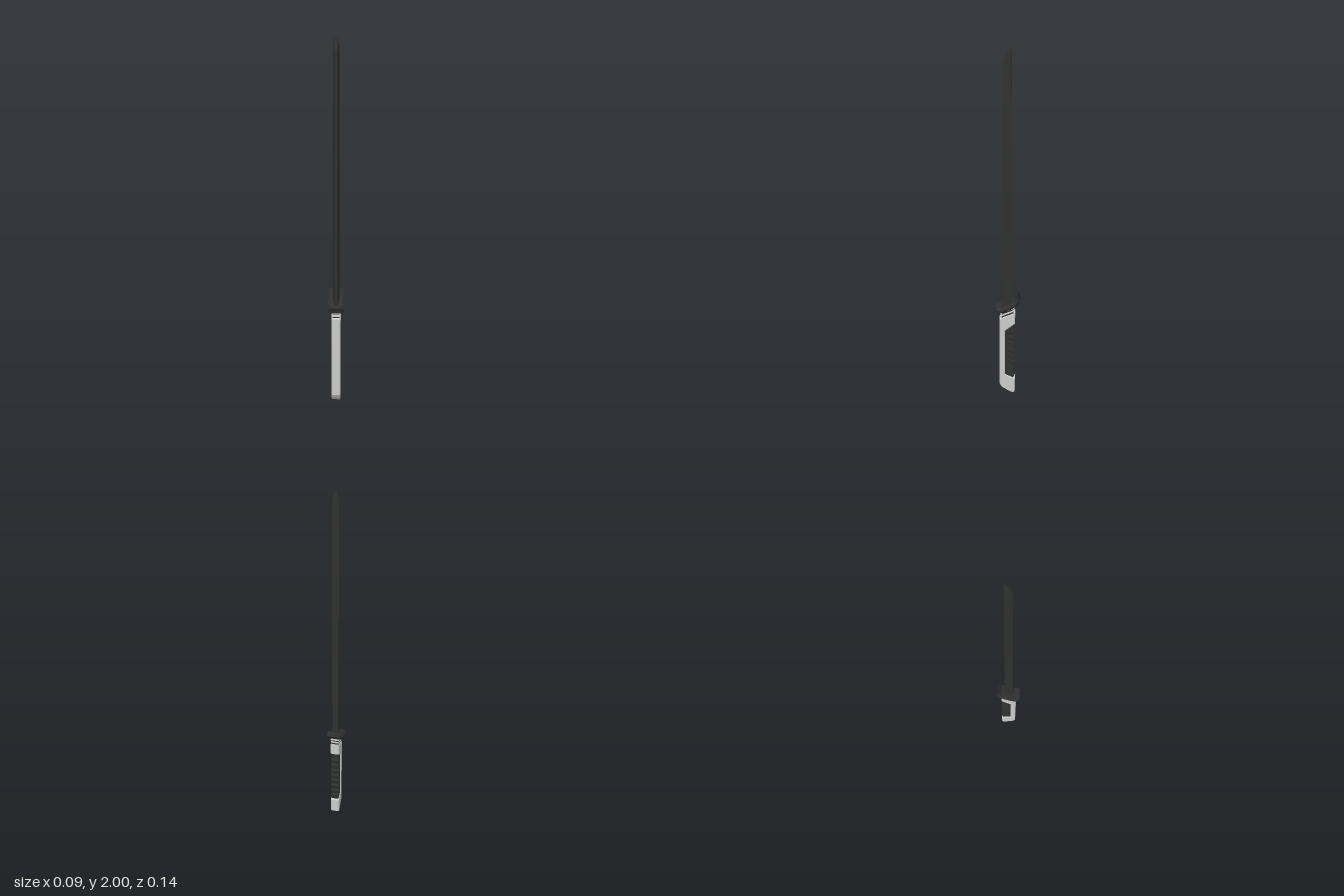
import * as THREE from 'three';

const material = (color) => new THREE.MeshStandardMaterial({ color, flatShading: true, roughness: 0.7 });

// Side profile given as [z, y] points, extruded across x with chamfered edges
function slab(name, profile, halfWidth, chamfer, mat) {
  const shape = new THREE.Shape(profile.map(([z, y]) => new THREE.Vector2(z, y)));
  const geo = new THREE.ExtrudeGeometry(shape, {
    depth: 2 * (halfWidth - chamfer),
    bevelEnabled: chamfer > 0,
    bevelThickness: chamfer,
    bevelSize: chamfer,
    bevelOffset: -chamfer,
    bevelSegments: 1,
  });
  geo.translate(0, 0, -(halfWidth - chamfer));
  geo.rotateY(-Math.PI / 2);
  const mesh = new THREE.Mesh(geo, mat);
  mesh.name = name;
  return mesh;
}

// Skin a stack of equal cross-sections, capped at both ends
function loft(name, sections, mat) {
  const n = sections[0].length;
  const index = [];
  for (let s = 0; s < sections.length - 1; s++) {
    for (let i = 0; i < n; i++) {
      const a = s * n + i, b = s * n + (i + 1) % n;
      index.push(a, b, b + n, a, b + n, a + n);
    }
  }
  const top = (sections.length - 1) * n;
  for (let i = 1; i < n - 1; i++) {
    index.push(0, i + 1, i, top, top + i, top + i + 1);
  }
  const indexed = new THREE.BufferGeometry();
  indexed.setAttribute('position', new THREE.Float32BufferAttribute(sections.flat(2), 3));
  indexed.setIndex(index);
  const geo = indexed.toNonIndexed();
  geo.computeVertexNormals();
  const mesh = new THREE.Mesh(geo, mat);
  mesh.name = name;
  return mesh;
}

// Wedge section: narrow cutting edge in front, broad spine behind
const wedge = (yFront, zFront, xFront, yBack, zBack, xBack) => [
  [-xFront, yFront, zFront],
  [xFront, yFront, zFront],
  [xBack, yBack, zBack],
  [-xBack, yBack, zBack],
];

export function createModel() {
  const model = new THREE.Group();
  model.name = 'sword';
  const grey = material(0xcccccc);
  const dark = material(0x303030);

  // Blade with a slanted tip
  model.add(loft('blade', [
    wedge(0.55, 0.03, 0.009, 0.55, -0.021, 0.018),
    wedge(1.92, 0.021, 0.008, 1.945, -0.017, 0.017),
    wedge(1.925, 0.02, 0.007, 2.0, -0.017, 0.007),
  ], dark));

  // Swept guard, turned down in front and up at the back
  model.add(slab('guard', [
    [0.068, 0.562], [0.059, 0.533], [0.02, 0.54], [-0.015, 0.558],
    [-0.048, 0.582], [-0.07, 0.61], [-0.06, 0.641], [-0.04, 0.605],
    [0.0, 0.582], [0.035, 0.567],
  ], 0.044, 0.009, dark));

  // Slanted collar rings between handle and guard
  const collar = new THREE.Group();
  collar.name = 'collar';
  collar.add(slab('collarCore', [
    [0.036, 0.48], [-0.032, 0.51], [-0.032, 0.572], [0.036, 0.54],
  ], 0.02, 0.003, dark));
  for (let i = 0; i < 2; i++) {
    const y = 0.506 + i * 0.018;
    collar.add(slab('collarRing', [
      [0.042, y], [-0.038, y + 0.036], [-0.038, y + 0.046], [0.042, y + 0.01],
    ], 0.024, 0.002, grey));
  }
  model.add(collar);

  // Handle frame, open at the back for the grip
  model.add(slab('handle', [
    [0.047, 0.06], [0.047, 0.495], [-0.041, 0.533], [-0.041, 0.462],
    [0.016, 0.415], [0.016, 0.13], [-0.041, 0.1], [-0.041, 0.012],
    [-0.034, 0.004], [-0.018, 0.006], [0.034, 0.038],
  ], 0.025, 0.005, grey));

  // Dark grip insert
  const grip = new THREE.Group();
  grip.name = 'grip';
  grip.add(slab('gripCore', [
    [0.02, 0.125], [0.02, 0.42], [-0.031, 0.462], [-0.031, 0.1],
  ], 0.02, 0.003, dark));

  // Overlapping slanted ribs along the grip
  const ribs = 8, pitch = 0.039;
  for (let i = 0; i < ribs; i++) {
    const y = 0.112 + i * pitch;
    grip.add(slab('gripRib', [
      [-0.034, y], [0.004, y + 0.02], [0.004, y + 0.046],
      [-0.034, y + 0.034], [-0.04, y + 0.027],
    ], 0.0235, 0.004, dark));
  }
  model.add(grip);

  return model;
}
